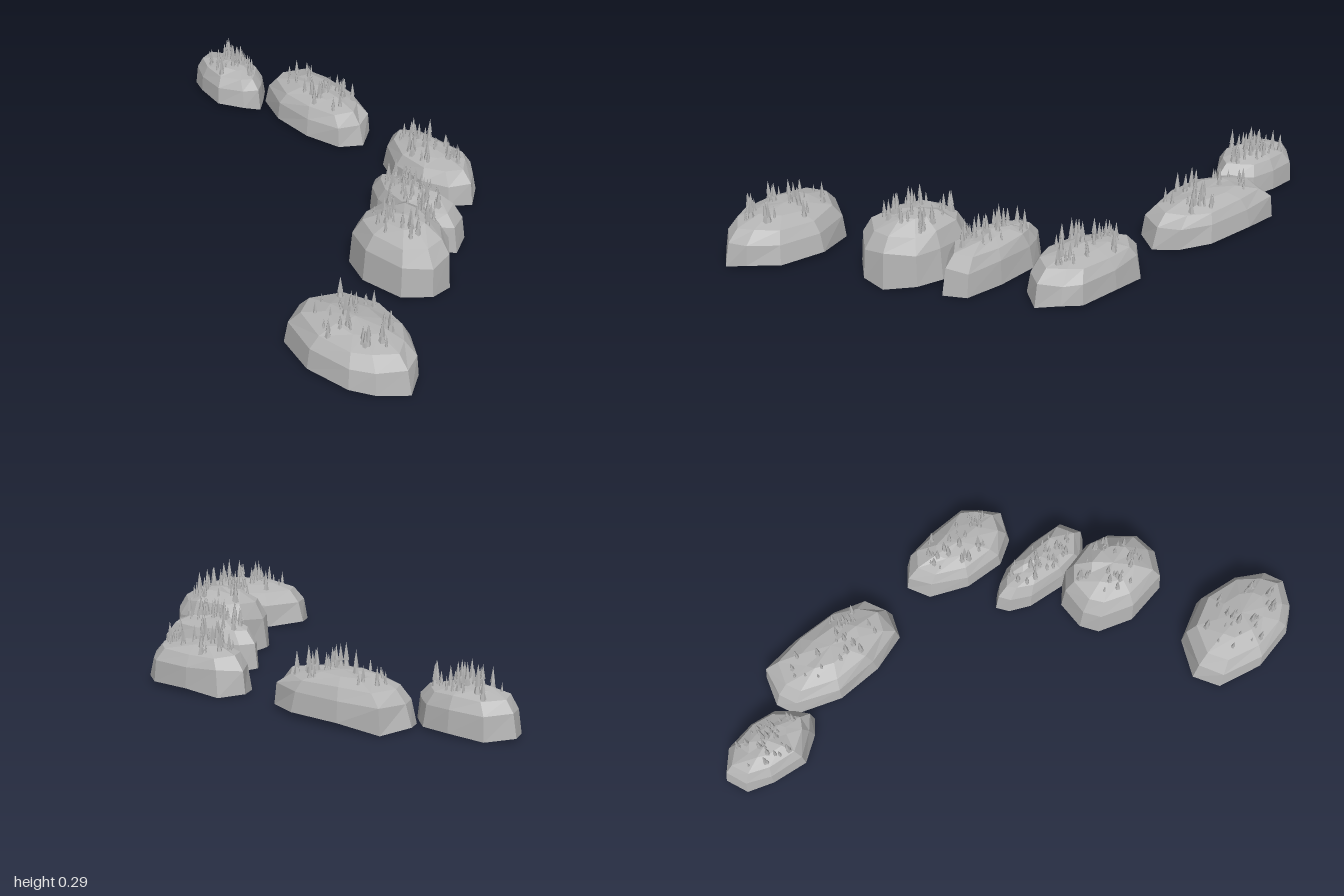
import * as THREE from 'three';
import { mergeGeometries } from 'three/addons/utils/BufferGeometryUtils.js';

const stone = new THREE.MeshStandardMaterial({ color: 0xb4b4b4 });
stone.name = 'stone grey';
stone.flatShading = true;
stone.side = THREE.DoubleSide;

// Shoreline of each islet as [x, z] corners, with its summit height
const ISLETS = [
  { top: 0.145, shore: [[-1, -.37], [-.93, -.44], [-.81, -.455], [-.71, -.44], [-.66, -.39], [-.62, -.34], [-.66, -.29], [-.75, -.23], [-.88, -.25], [-.97, -.29]] },
  { top: 0.15, shore: [[-.69, -.47], [-.65, -.58], [-.5, -.6], [-.31, -.59], [-.2, -.54], [-.15, -.46], [-.19, -.37], [-.33, -.33], [-.5, -.33], [-.66, -.4]] },
  { top: 0.155, shore: [[-.04, -.5], [.02, -.57], [.15, -.585], [.3, -.58], [.36, -.54], [.41, -.47], [.37, -.39], [.28, -.34], [.13, -.35], [0, -.42]] },
  { top: 0.17, shore: [[.15, -.22], [.19, -.26], [.25, -.29], [.4, -.3], [.54, -.29], [.58, -.21], [.5, -.13], [.4, -.12], [.25, -.14], [.18, -.18]] },
  { top: 0.225, shore: [[.33, .04], [.34, -.07], [.4, -.13], [.53, -.155], [.62, -.13], [.7, -.05], [.71, .04], [.65, .13], [.49, .15], [.37, .1]] },
  { top: 0.158, shore: [[.5, .46], [.57, .33], [.71, .265], [.87, .29], [.96, .36], [1, .43], [.94, .52], [.87, .57], [.71, .595], [.55, .55]] },
];

// Dome profile: [outline scale, fraction of height]
const PROFILE = [[1, 0], [0.94, 0.55], [0.77, 0.81], [0.42, 0.95], [0, 1]];

function seeded(seed) {
  let s = seed;
  return () => (s = (s * 16807) % 2147483647) / 2147483647;
}

function heightAt(scale) {
  for (let k = 1; k < PROFILE.length; k++) {
    const [s0, h0] = PROFILE[k - 1], [s1, h1] = PROFILE[k];
    if (scale >= s1) return h0 + (h1 - h0) * (s0 - scale) / (s0 - s1);
  }
  return 1;
}

// Hollow faceted dome, open underneath
function domeGeometry({ shore, top }, [cx, cz], rand) {
  const pos = [], index = [], n = shore.length;
  PROFILE.forEach(([scale, h], r) => {
    shore.forEach(([x, z], i) => {
      const inner = r > 0 && r < PROFILE.length - 1;
      const s = scale * (inner ? 0.97 + 0.06 * rand() : 1);
      const y = r === 0 ? (i % 4 === 1 ? 0 : 0.008 + 0.012 * rand())
        : top * (h + (inner ? 0.07 * (rand() - 0.5) : 0));
      pos.push(cx + (x - cx) * s, y, cz + (z - cz) * s);
      if (r === 0) return;
      const j = (i + 1) % n, lo = (r - 1) * n, hi = r * n;
      index.push(lo + j, lo + i, hi + i);
      if (r < PROFILE.length - 1) index.push(lo + j, hi + i, hi + j);
    });
  });
  const g = new THREE.BufferGeometry();
  g.setAttribute('position', new THREE.Float32BufferAttribute(pos, 3));
  g.setIndex(index);
  const flat = g.toNonIndexed();
  flat.computeVertexNormals();
  return flat;
}

// Conifer of two stacked cones with its foot at the origin
function treeGeometry(height, radius) {
  const skirt = new THREE.ConeGeometry(radius, height * 0.65, 5);
  skirt.translate(0, height * 0.325, 0);
  const crown = new THREE.ConeGeometry(radius * 0.7, height * 0.65, 5);
  crown.rotateY(0.6).translate(0, height * 0.675, 0);
  return mergeGeometries([skirt, crown]);
}

function grove({ shore, top }, [cx, cz], rand) {
  const trees = [];
  for (let k = 0; k < 30; k++) {
    const s = 0.68 * Math.sqrt(0.02 + 0.98 * rand());
    const i = Math.floor(rand() * shore.length), t = rand();
    const a = shore[i], b = shore[(i + 1) % shore.length];
    const x = cx + s * (a[0] + (b[0] - a[0]) * t - cx);
    const z = cz + s * (a[1] + (b[1] - a[1]) * t - cz);
    const size = 0.45 + 0.55 * rand();
    const tree = treeGeometry(0.09 * size, 0.014 * size);
    tree.rotateY(rand() * 6).translate(x, top * heightAt(s) - 0.01, z);
    trees.push(tree);
  }
  return mergeGeometries(trees);
}

export function createModel() {
  const model = new THREE.Group();
  model.name = 'isletChain';
  ISLETS.forEach((islet, k) => {
    const rand = seeded(1237 * (k + 3));
    const centre = [0, 1].map((a) => {
      const v = islet.shore.map((p) => p[a]);
      return (Math.min(...v) + Math.max(...v)) / 2;
    });
    const group = new THREE.Group();
    group.name = `islet${k + 1}`;
    const rock = new THREE.Mesh(domeGeometry(islet, centre, rand), stone);
    rock.name = 'rockDome';
    const trees = new THREE.Mesh(grove(islet, centre, rand), stone);
    trees.name = 'pineTrees';
    group.add(rock, trees);
    model.add(group);
  });
  return model;
}
